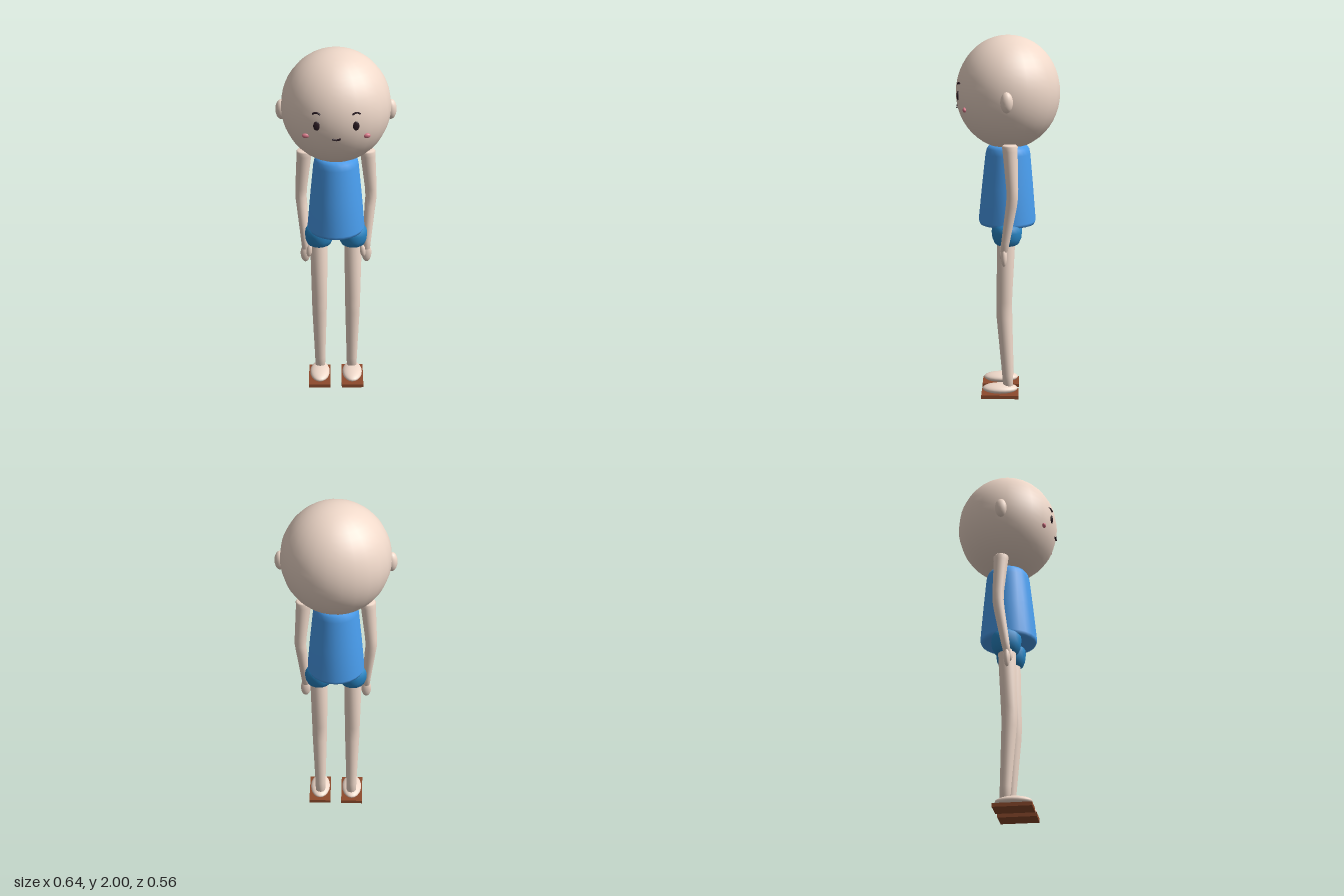
import * as THREE from 'three';
import { mergeVertices } from 'three/addons/utils/BufferGeometryUtils.js';

const material = (color) => new THREE.MeshStandardMaterial({ color });
const skin = material(0xf0d9ca);
const shirtBlue = material(0x4a9ff0);
const shortsBlue = material(0x2a88c8);
const soleBrown = material(0x8e4a2c);
const dark = material(0x2c1c24);
const pink = material(0xd97a8a);

// Head ellipsoid, shared with the face features that sit on it
const HEAD = { y: 1.695, z: -0.005, rx: 0.29, ry: 0.305, rz: 0.282 };
const headZ = (x, y) =>
  HEAD.z + HEAD.rz * Math.sqrt(1 - (x / HEAD.rx) ** 2 - ((y - HEAD.y) / HEAD.ry) ** 2);

function add(parent, name, geometry, mat) {
  const mesh = new THREE.Mesh(geometry, mat);
  mesh.name = name;
  parent.add(mesh);
  return mesh;
}

function ellipsoid(parent, name, [x, y, z], [rx, ry, rz], mat, segments = 16) {
  const geometry = new THREE.SphereGeometry(1, segments, Math.ceil(segments * 0.75));
  const mesh = add(parent, name, geometry.scale(rx, ry, rz), mat);
  mesh.position.set(x, y, z);
  return mesh;
}

// Smooth tube of round rings [x, y, z, radius], listed from bottom to top
function loft(parent, name, rings, mat, segments = 16) {
  const geometry = new THREE.LatheGeometry(rings.map((r) => new THREE.Vector2(r[3], r[1])), segments);
  const position = geometry.attributes.position;
  for (let i = 0; i < position.count; i++) {
    const ring = rings[i % rings.length];
    position.setX(i, position.getX(i) + ring[0]);
    position.setZ(i, position.getZ(i) + ring[2]);
  }
  geometry.deleteAttribute('uv');
  geometry.deleteAttribute('normal');
  const merged = mergeVertices(geometry, 1e-5);
  merged.computeVertexNormals();
  return add(parent, name, merged, mat);
}

// Thin arched stroke laid on the face
function stroke(parent, name, x, y, halfWidth, bend, lift = 0) {
  const points = [-1, -0.5, 0, 0.5, 1].map((t) => {
    const px = x + t * halfWidth;
    const py = y + bend * (1 - t * t);
    return new THREE.Vector3(px, py, headZ(px, py) + lift);
  });
  add(parent, name, new THREE.TubeGeometry(new THREE.CatmullRomCurve3(points), 10, 0.005, 6), dark);
}

export function createModel() {
  const model = new THREE.Group();
  model.name = 'figure';

  // Head
  const head = new THREE.Group();
  head.name = 'headGroup';
  model.add(head);
  const skull = new THREE.SphereGeometry(1, 24, 24).rotateY(Math.PI / 24);
  add(head, 'head', skull.scale(HEAD.rx, HEAD.ry, HEAD.rz), skin).position.set(0, HEAD.y, HEAD.z);
  stroke(head, 'mouth', 0, 1.619, 0.022, -0.007, 0.004);

  // Shirt, widening to a closed hem
  loft(model, 'shirt', [
    [0, 0.985, 0, 0], [0, 0.97, 0, 0.135], [0, 0.972, 0, 0.15], [0, 0.99, 0, 0.157],
    [0, 1.18, -0.002, 0.14], [0, 1.36, -0.004, 0.122], [0, 1.39, -0.005, 0.115],
    [0, 1.41, -0.005, 0.1], [0, 1.415, -0.005, 0],
  ], shirtBlue, 24);

  for (const [side, s] of [['left', 1], ['right', -1]]) {
    // Face features and ear
    ellipsoid(head, side + 'Ear', [s * 0.288, 1.672, -0.003], [0.031, 0.055, 0.033], skin);
    const eye = [s * 0.1, 1.686];
    ellipsoid(head, side + 'Eye', [...eye, headZ(...eye)], [0.017, 0.025, 0.007], dark);
    const cheek = [s * 0.156, 1.617];
    ellipsoid(head, side + 'Cheek', [...cheek, headZ(...cheek)], [0.02, 0.013, 0.011], pink);
    stroke(head, side + 'Eyebrow', s * 0.101, 1.746, 0.02, 0.009);

    // Arm, bent slightly at the elbow
    const arm = new THREE.Group();
    arm.name = side + 'ArmGroup';
    model.add(arm);
    loft(arm, side + 'Arm', [
      [s * 0.169, 0.84, 0.014, 0], [s * 0.169, 0.85, 0.014, 0.02], [s * 0.171, 0.9, 0.006, 0.023],
      [s * 0.187, 1.1, -0.026, 0.03], [s * 0.192, 1.15, -0.031, 0.031], [s * 0.19, 1.2, -0.031, 0.032],
      [s * 0.172, 1.4, -0.019, 0.04], [s * 0.171, 1.425, -0.018, 0.042],
      [s * 0.171, 1.432, -0.018, 0.036], [s * 0.171, 1.434, -0.018, 0],
    ], skin);
    ellipsoid(arm, side + 'Hand', [s * 0.17, 0.82, 0.014], [0.027, 0.054, 0.017], skin);
    const thumb = ellipsoid(arm, side + 'Thumb', [s * 0.148, 0.842, 0.029], [0.016, 0.038, 0.013], skin);
    thumb.rotation.z = s * 0.12;

    // Puffed leg of the shorts
    loft(model, side + 'ShortsLeg', [
      [s * 0.094, 0.872, 0, 0], [s * 0.094, 0.87, 0, 0.05], [s * 0.094, 0.88, 0, 0.066],
      [s * 0.093, 0.91, 0, 0.079], [s * 0.093, 0.945, 0, 0.083], [s * 0.092, 0.975, 0, 0.08],
      [s * 0.09, 1.0, 0, 0.06], [s * 0.09, 1.01, 0, 0],
    ], shortsBlue);

    // Leg, with the knee a little forward
    loft(model, side + 'Leg', [
      [s * 0.092, 0.04, -0.008, 0], [s * 0.092, 0.045, -0.008, 0.028], [s * 0.092, 0.12, -0.004, 0.03],
      [s * 0.094, 0.45, 0.015, 0.041], [s * 0.094, 0.5, 0.016, 0.042], [s * 0.094, 0.55, 0.015, 0.043],
      [s * 0.095, 0.9, 0.003, 0.049], [s * 0.095, 0.91, 0.003, 0],
    ], skin);

    // Foot on a flat sole
    ellipsoid(model, side + 'Foot', [s * 0.094, 0.042, 0.038], [0.057, 0.027, 0.098], skin, 20);
    add(model, side + 'Sole', new THREE.BoxGeometry(0.125, 0.02, 0.207), soleBrown)
      .position.set(s * 0.095, 0.01, 0.038);
  }
  return model;
}
